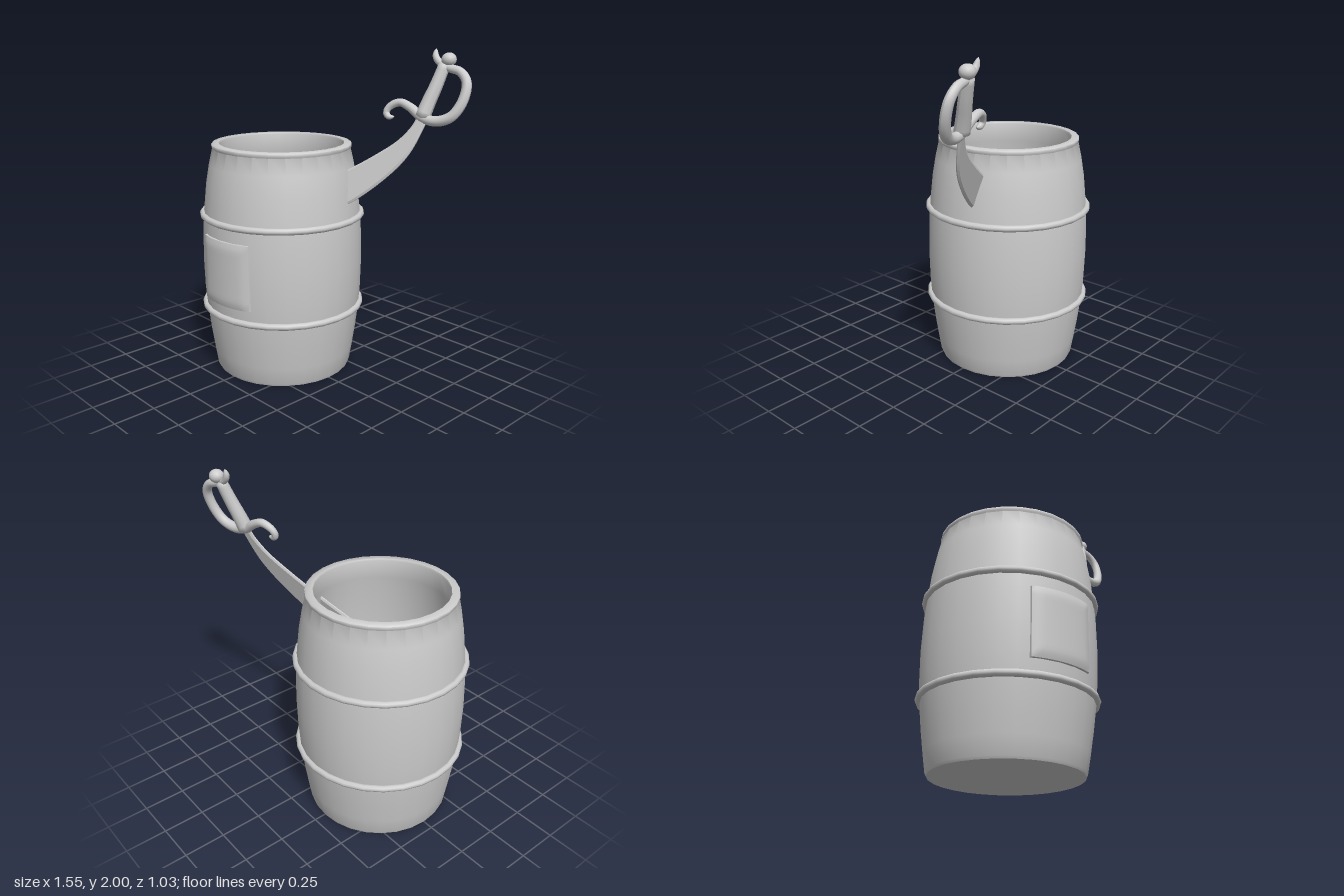
import * as THREE from 'three';
import { toCreasedNormals } from 'three/addons/utils/BufferGeometryUtils.js';

const material = new THREE.MeshStandardMaterial({ color: 0xcccccc });
const CX = -0.26; // barrel axis
const SEG = 28;

function add(group, name, geometry) {
  const mesh = new THREE.Mesh(geometry, material);
  mesh.name = name;
  group.add(mesh);
  return mesh;
}

// The sword lies in one leaning plane: depth follows from x and y
const planeZ = (x, y) => 0.261 - 0.279 * x - 0.288 * y;
const onPlane = ([x, y]) => new THREE.Vector3(x, y, planeZ(x, y));

// Tube through points in the sword plane, with a radius that varies along it
function taperedTube(points, radiusAt, rings, sides) {
  const curve = new THREE.CatmullRomCurve3(points.map(onPlane), false, 'centripetal');
  const geo = new THREE.TubeGeometry(curve, rings, 1, sides);
  const pos = geo.attributes.position;
  const v = new THREE.Vector3();
  for (let i = 0; i <= rings; i++) {
    const c = curve.getPointAt(i / rings);
    for (let j = 0; j <= sides; j++) {
      const k = i * (sides + 1) + j;
      v.fromBufferAttribute(pos, k).sub(c).multiplyScalar(radiusAt(i / rings)).add(c);
      pos.setXYZ(k, v.x, v.y, v.z);
    }
  }
  geo.computeVertexNormals();
  return geo;
}

function createBarrel() {
  const barrel = new THREE.Group();
  barrel.name = 'barrel';
  barrel.position.x = CX;

  // Closed outline: underside, bulging outside, rim lip, inside wall, floor
  const outline = [
    [0, 0], [0.425, 0], [0.432, 0.015], [0.449, 0.12], [0.467, 0.24], [0.484, 0.38], [0.495, 0.52],
    [0.5, 0.7], [0.495, 0.9], [0.486, 1.02], [0.469, 1.18], [0.448, 1.3], [0.425, 1.4],
    [0.43, 1.408], [0.43, 1.424], [0.424, 1.43], [0.385, 1.43], [0.38, 1.42],
    [0.4, 1.3], [0.435, 1.05], [0.45, 0.7], [0.435, 0.38], [0.4, 0.12], [0.385, 0.05], [0, 0.05],
  ].map(([r, y]) => new THREE.Vector2(r, y));
  add(barrel, 'barrelBody', toCreasedNormals(new THREE.LatheGeometry(outline, SEG), 0.8));

  // Hoops
  for (const [name, y] of [['lowerHoop', 0.413], ['upperHoop', 0.993]]) {
    const hoop = add(barrel, name, new THREE.TorusGeometry(0.493, 0.02, 10, SEG));
    hoop.rotation.x = Math.PI / 2;
    hoop.position.y = y;
  }

  // Front plate: a box bent round the barrel, its front softened at the borders
  const plate = new THREE.BoxGeometry(0.38, 0.4, 1, 16, 16, 1);
  const pos = plate.attributes.position;
  for (let i = 0; i < pos.count; i++) {
    const x = pos.getX(i), y = pos.getY(i);
    const edge = Math.min(0.19 - Math.abs(x), 0.2 - Math.abs(y));
    const soft = 1 - Math.min(edge / 0.05, 1);
    const r = pos.getZ(i) > 0 ? 0.517 - 0.01 * soft * soft : 0.46;
    const dx = x + 0.03;
    pos.setXYZ(i, dx, y + 0.7, Math.sqrt(r * r - dx * dx));
  }
  add(barrel, 'frontPlate', toCreasedNormals(plate, 0.7));
  return barrel;
}

function createSword() {
  const sword = new THREE.Group();
  sword.name = 'sword';

  // Curved blade, extruded flat and then sheared into the sword plane
  const vec = (list) => list.map(([x, y]) => new THREE.Vector2(x, y));
  const shape = new THREE.Shape();
  shape.moveTo(-0.35, 0.9);
  shape.splineThru(vec([[-0.15, 0.955], [0.03, 1.01], [0.22, 1.11], [0.4, 1.27], [0.51, 1.42], [0.575, 1.62]]));
  shape.lineTo(0.515, 1.65);
  shape.splineThru(vec([[0.49, 1.57], [0.42, 1.48], [0.31, 1.395], [0.19, 1.315], [0.03, 1.22], [-0.15, 1.12]]));
  shape.closePath();
  const blade = new THREE.ExtrudeGeometry(shape, {
    depth: 0.008, bevelThickness: 0.008, bevelSize: 0.012, bevelOffset: -0.012, bevelSegments: 1, curveSegments: 18,
  });
  const pos = blade.attributes.position;
  for (let i = 0; i < pos.count; i++) {
    pos.setZ(i, pos.getZ(i) - 0.004 + planeZ(pos.getX(i), pos.getY(i)));
  }
  add(sword, 'blade', toCreasedNormals(blade, 0.5));

  // Grip
  const grip = [[0.535, 1.6], [0.555, 1.7], [0.58, 1.8], [0.605, 1.93]];
  add(sword, 'grip', taperedTube(grip, (t) => (t === 0 || t === 1 ? 0 : 0.045 - 0.012 * t), 14, 12));

  // Pommel
  const pommel = add(sword, 'pommel', new THREE.SphereGeometry(0.043, 16, 12));
  pommel.position.copy(onPlane([0.62, 1.94]));
  pommel.scale.y = 0.9;

  // Guard: one S-shaped bar from the hook at the top round the hand to the curl
  const guard = [
    [0.535, 2.0], [0.542, 1.955], [0.575, 1.92], [0.63, 1.895], [0.7, 1.875], [0.745, 1.82], [0.745, 1.72],
    [0.7, 1.635], [0.62, 1.605], [0.54, 1.62], [0.46, 1.67], [0.39, 1.695], [0.335, 1.67], [0.32, 1.635],
    [0.34, 1.612], [0.375, 1.615],
  ];
  const guardRadius = (t) => (0.017 + 0.013 * Math.sin(Math.PI * t)) * Math.sqrt(Math.min(1, t * 25, (1 - t) * 25));
  add(sword, 'guard', taperedTube(guard, guardRadius, 80, 12));
  return sword;
}

export function createModel() {
  const model = new THREE.Group();
  model.name = 'barrelWithSword';
  model.add(createBarrel(), createSword());
  return model;
}
